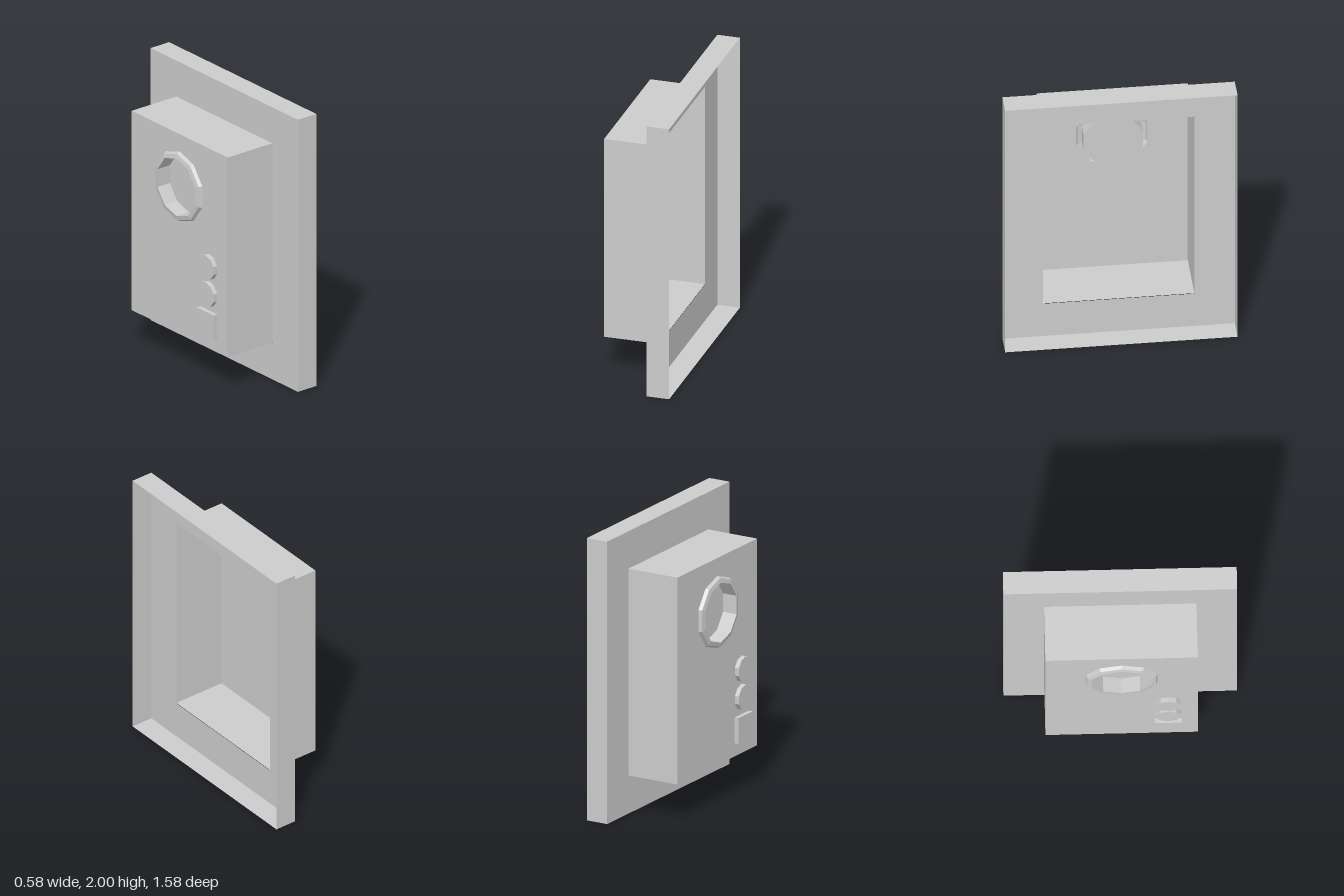
import * as THREE from 'three';

export function createModel() {
  const group = new THREE.Group();
  const grey = new THREE.MeshStandardMaterial({ color: 0xcccccc, side: THREE.DoubleSide });
  grey.name = 'light grey';

  // Faceted mesh helper
  const add = (name, geometry, x = 0, y = 0, z = 0) => {
    const g = geometry.index ? geometry.toNonIndexed() : geometry;
    g.computeVertexNormals();
    const mesh = new THREE.Mesh(g, grey);
    mesh.name = name;
    mesh.position.set(x, y, z);
    group.add(mesh);
    return mesh;
  };

  const rect = (w, h) => [[-w, -h], [w, -h], [w, h], [-w, h]].map(([a, b]) => new THREE.Vector2(a / 2, b / 2));
  const decagon = (r, cy) => Array.from({ length: 10 }, (_, i) => {
    const a = Math.PI / 2 + i * Math.PI / 5;
    return new THREE.Vector2(r * Math.cos(a), cy + r * Math.sin(a));
  });

  // Flat sheet in the y-z plane with one hole
  const sheet = (outline, hole) => {
    const shape = new THREE.Shape(outline);
    shape.holes.push(new THREE.Path(hole.slice().reverse()));
    return new THREE.ShapeGeometry(shape).rotateY(Math.PI / 2);
  };

  // Four thin walls around the x axis, open at both ends
  const walls = (depth, h, w) =>
    new THREE.CylinderGeometry(Math.SQRT1_2, Math.SQRT1_2, 1, 4, 1, true, Math.PI / 4)
      .rotateZ(Math.PI / 2).scale(depth, h, w);

  const xBack = -0.258, xPlate = 0.13, xOpen = 0.29;
  const boxW = 1.03, boxH = 1.465, boxY = 1.003, portY = 1.354;

  // Wide shallow frame, open towards +x
  add('frameWalls', walls(xOpen - xPlate, 2, 1.58), (xOpen + xPlate) / 2, 1, 0);
  add('framePlate', sheet(rect(1.58, 2), rect(boxW, boxH)), xPlate, 1, 0);

  // Hollow housing behind the frame
  add('housingWalls', walls(xPlate - xBack, boxH, boxW), (xPlate + xBack) / 2, boxY, 0);
  add('housingPanel', sheet(rect(boxW, boxH), decagon(0.255, portY - boxY)), xBack, boxY, 0);

  // Bevelled ring with a recessed round end
  const profile = [[0.255, xBack], [0.243, -0.281], [0.212, -0.288], [0.212, -0.18], [0, -0.18]]
    .map(([r, x]) => new THREE.Vector2(r, -x));
  add('roundPort', new THREE.LatheGeometry(profile, 10, Math.PI / 2).rotateZ(Math.PI / 2), 0, portY, 0);

  // Two round buttons and one square button
  const depth = 0.032, xButton = xBack - depth / 2;
  for (const y of [0.87, 0.67]) {
    add('roundButton', new THREE.CylinderGeometry(0.091, 0.091, depth, 10, 1, false, Math.PI / 2)
      .rotateZ(Math.PI / 2), xButton, y, 0.315);
  }
  add('squareButton', new THREE.BoxGeometry(depth, 0.182, 0.182), xButton, 0.455, 0.315);

  return group;
}
